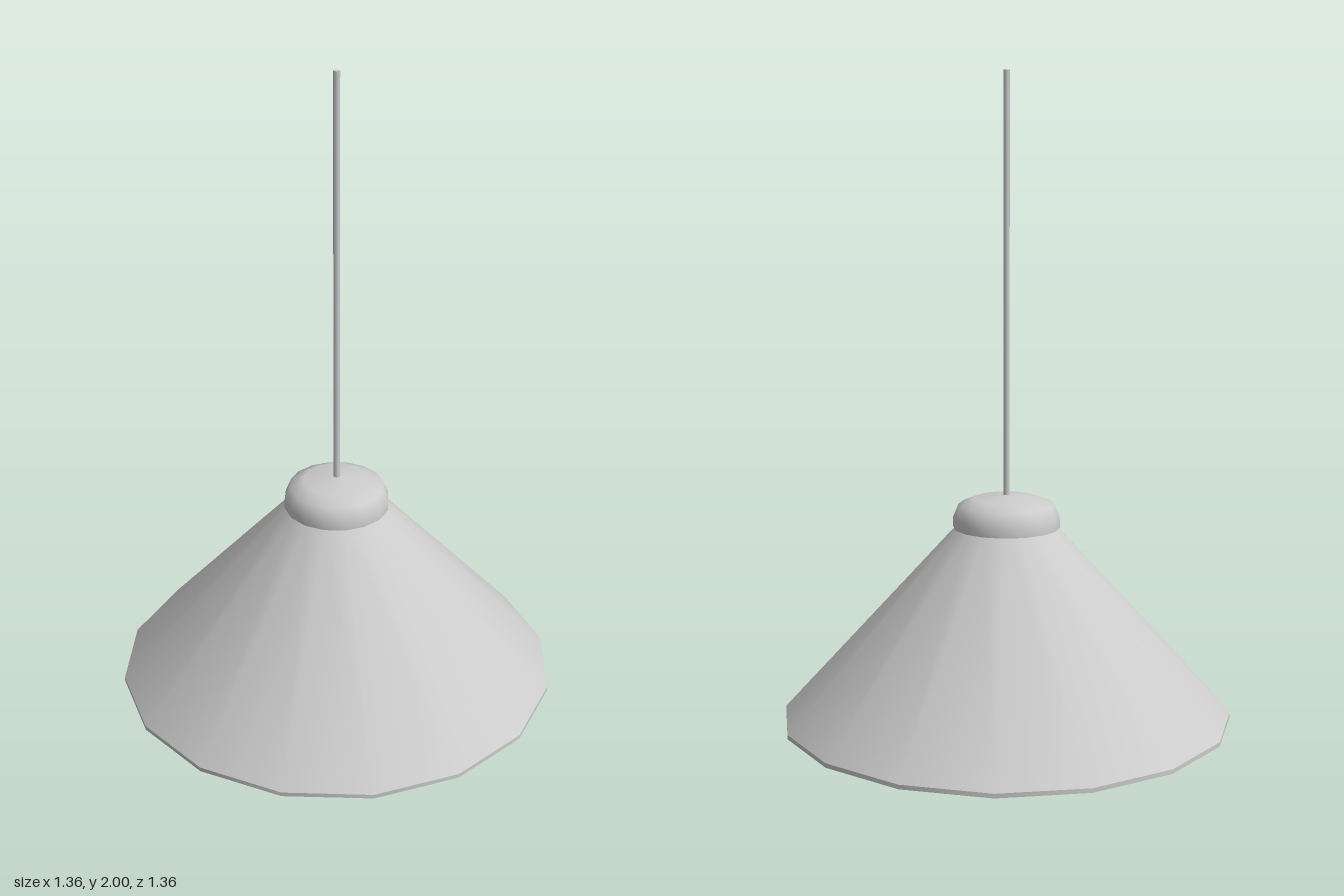
import * as THREE from 'three';

const SIDES = 16;

export function createModel() {
  const lamp = new THREE.Group();
  lamp.name = 'pendantLamp';
  const material = new THREE.MeshStandardMaterial({ color: 0xcccccc });

  const add = (name, geometry, y = 0, parent = lamp) => {
    const mesh = new THREE.Mesh(geometry, material);
    mesh.name = name;
    mesh.position.y = y;
    parent.add(mesh);
    return mesh;
  };
  // Profile is a list of [radius, height]; running upward faces outward
  const lathe = (profile) =>
    new THREE.LatheGeometry(profile.map(([r, y]) => new THREE.Vector2(r, y)), SIDES);

  // Hanging cord
  add('cord', new THREE.CylinderGeometry(0.01, 0.01, 1.26, 8), 1.37);

  // Domed cap with a flat underside
  const cap = new THREE.Group();
  cap.name = 'cap';
  lamp.add(cap);
  add('capDome', lathe([[0.161, 0.651], [0.161, 0.681], [0.145, 0.72], [0.1, 0.74], [0, 0.751]]), 0, cap);
  add('capUnderside', lathe([[0, 0.651], [0.161, 0.651]]), 0, cap);

  // Conical shade: separate surfaces keep the rim edges sharp, walls thicken upward
  const shade = new THREE.Group();
  shade.name = 'shade';
  lamp.add(shade);
  add('shadeOuter', lathe([[0.68, 0.08], [0.155, 0.651]]), 0, shade);
  add('shadeRim', lathe([[0.68, 0.067], [0.68, 0.08]]), 0, shade);
  add('shadeLip', lathe([[0.67, 0.067], [0.68, 0.067]]), 0, shade);
  add('shadeInner', lathe([[0.145, 0.585], [0.67, 0.067]]), 0, shade);
  add('shadeCeiling', lathe([[0, 0.585], [0.145, 0.585]]), 0, shade);

  // Round bulb and the socket holding it under the cap
  add('bulb', new THREE.SphereGeometry(0.232, SIDES, 8), 0.232);
  add('socket', new THREE.CylinderGeometry(0.08, 0.08, 0.17, SIDES), 0.515);

  return lamp;
}
